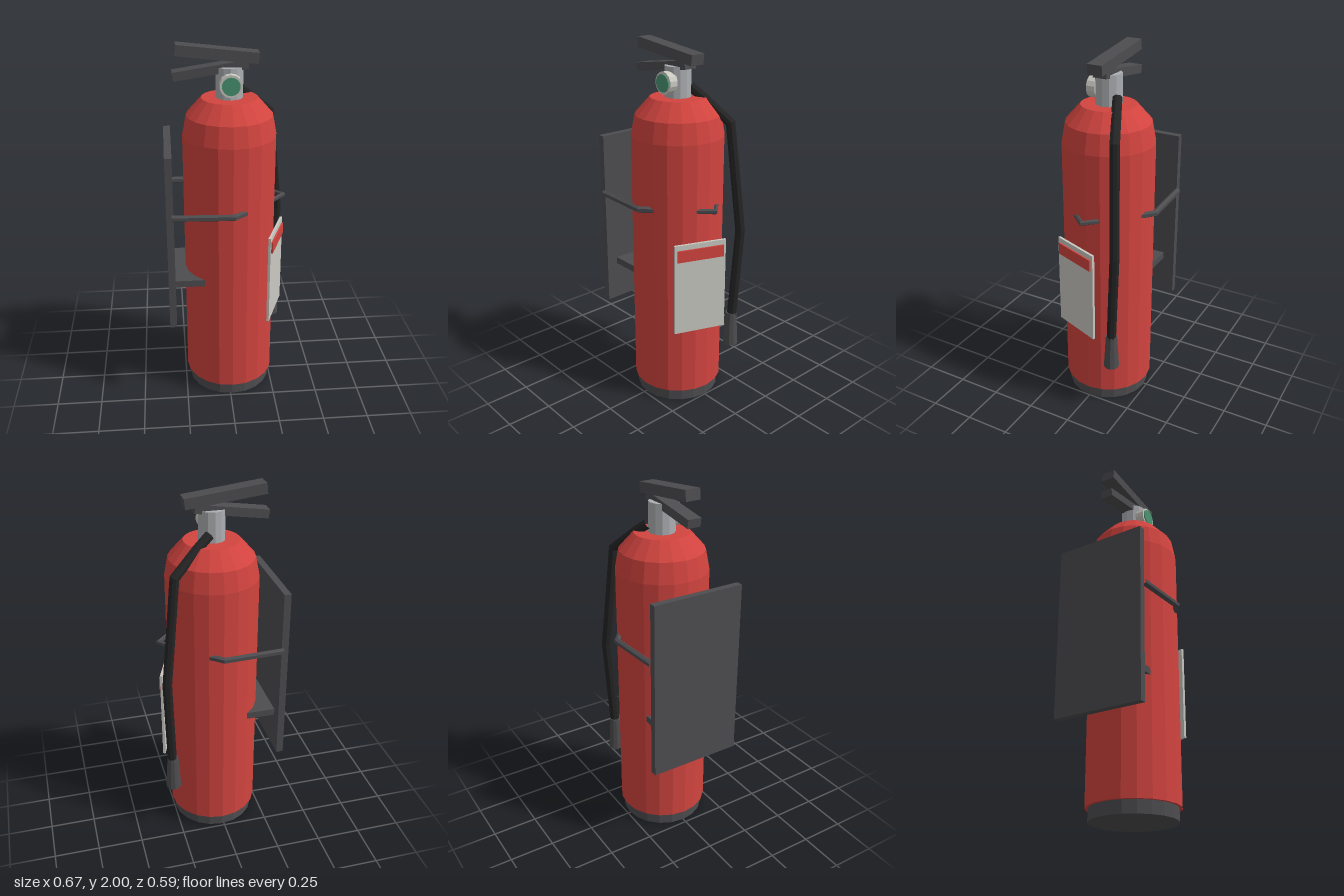
import * as THREE from 'three';

const mat = (name, color) => {
  const m = new THREE.MeshStandardMaterial({ color, flatShading: true });
  m.name = name;
  return m;
};

// Straight-segment path with mitred corners
class Polyline extends THREE.Curve {
  constructor(points) {
    super();
    this.pts = points.map((p) => new THREE.Vector3(...p));
  }
  getPoint(t, target = new THREE.Vector3()) {
    const n = this.pts.length - 1;
    const i = Math.min(Math.floor(t * n + 1e-6), n - 1);
    return target.lerpVectors(this.pts[i], this.pts[i + 1], t * n - i);
  }
  getPointAt(u, target) {
    return this.getPoint(u, target);
  }
  getTangentAt(u, target = new THREE.Vector3()) {
    const n = this.pts.length - 1;
    const i = Math.round(u * n);
    const dir = (k) => this.pts[k + 1].clone().sub(this.pts[k]).normalize();
    return target.copy(dir(Math.max(i - 1, 0))).add(dir(Math.min(i, n - 1))).normalize();
  }
}

export function createModel() {
  const red = mat('red paint', 0xd2443f);
  const dark = mat('dark grey', 0x4d4d50);
  const black = mat('black rubber', 0x242425);
  const metal = mat('light metal', 0xacafb2);
  const white = mat('off white', 0xcac9c2);
  const green = mat('gauge green', 0x4a9372);

  const model = new THREE.Group();
  const cx = 0.011; // tank axis

  const add = (name, geometry, material, x = 0, y = 0, z = 0) => {
    const mesh = new THREE.Mesh(geometry, material);
    mesh.name = name;
    mesh.position.set(x, y, z);
    model.add(mesh);
    return mesh;
  };
  const tube = (name, points, radius, sides, material) =>
    add(name, new THREE.TubeGeometry(new Polyline(points), points.length - 1, radius, sides), material);

  // Tank and foot
  const profile = [[0, 0.07], [0.25, 0.07], [0.25, 1.52], [0.229, 1.63], [0.149, 1.72], [0, 1.72]];
  add('tank', new THREE.LatheGeometry(profile.map((p) => new THREE.Vector2(...p)), 20), red, cx);
  add('foot', new THREE.CylinderGeometry(0.234, 0.234, 0.08, 20), dark, cx, 0.04);

  // Valve neck and pressure gauge
  add('neck', new THREE.CylinderGeometry(0.071, 0.071, 0.17, 12), metal, cx, 1.796);
  add('gauge', new THREE.CylinderGeometry(0.059, 0.059, 0.05, 14), white, cx, 1.8, 0.077).rotation.x = Math.PI / 2;
  add('gaugeFace', new THREE.CylinderGeometry(0.047, 0.047, 0.008, 14), green, cx, 1.8, 0.104).rotation.x = Math.PI / 2;

  // Squeeze levers
  add('upperLever', new THREE.BoxGeometry(0.427, 0.056, 0.084), dark, -0.054, 1.948, -0.001).rotation.z = -0.113;
  add('lowerLever', new THREE.BoxGeometry(0.39, 0.046, 0.076), dark, -0.088, 1.866, 0).rotation.z = 0.15;

  // Wall bracket
  add('wallPlate', new THREE.BoxGeometry(0.038, 0.99, 0.527), dark, -0.319, 0.992);
  add('bracketShelf', new THREE.BoxGeometry(0.17, 0.038, 0.396), dark, -0.225, 0.731);
  for (const s of [1, -1]) {
    tube('bracketArm', [[-0.31, 1.16, s * 0.264], [0.015, 1.16, s * 0.28], [0.09, 1.16, s * 0.215]], 0.018, 6, dark);
  }
  tube('frontClip', [[0.235, 1.16, -0.075], [0.308, 1.16, 0], [0.235, 1.16, 0.075]], 0.014, 6, dark);

  // Hose and nozzle
  tube('hose', [[0.04, 1.765, -0.065], [0.105, 1.715, -0.095], [0.243, 1.595, -0.16],
    [0.305, 1.0, -0.194], [0.286, 0.46, -0.165]], 0.027, 8, black);
  add('nozzle', new THREE.CylinderGeometry(0.031, 0.043, 0.2, 10), dark, 0.283, 0.4, -0.165);

  // Instruction tag with a red header strip
  const tag = new THREE.Group();
  tag.name = 'tag';
  tag.position.set(0.263, 0.728, 0.064);
  tag.rotation.y = 1.21;
  const panel = new THREE.Mesh(new THREE.BoxGeometry(0.293, 0.523, 0.014), white);
  panel.name = 'tagPanel';
  const strip = new THREE.Mesh(new THREE.BoxGeometry(0.264, 0.066, 0.009), red);
  strip.name = 'tagStrip';
  strip.position.set(0, 0.2, 0.0115);
  tag.add(panel, strip);
  model.add(tag);

  return model;
}
